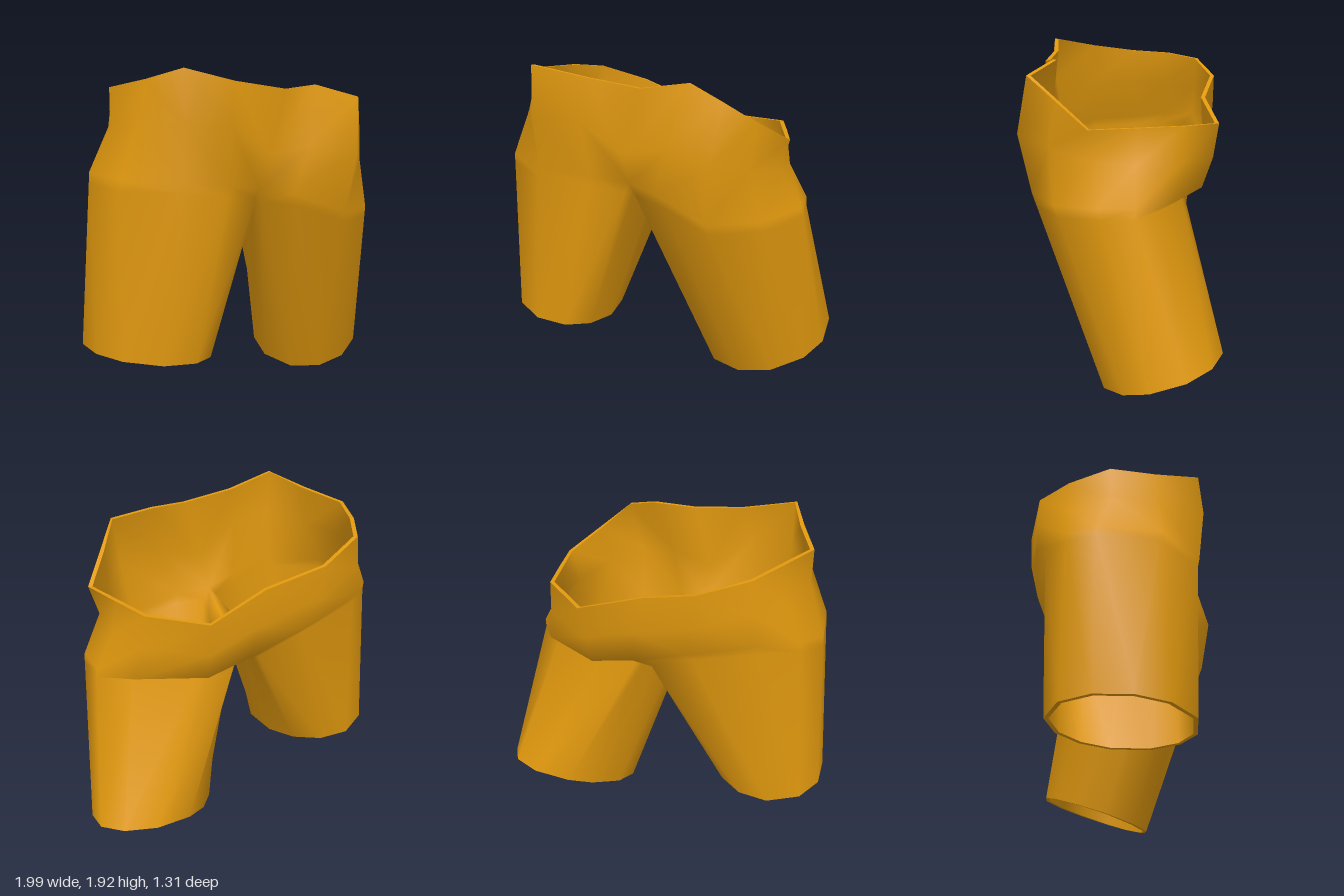
import * as THREE from 'three';
import { mergeVertices } from 'three/addons/utils/BufferGeometryUtils.js';

const THICKNESS = 0.025;

// Seam points shared by both halves
const FRONT = [[0.13, 1.82, 0.5], [0.02, 1.45, 0.53], [0, 1.25, 0.42]];
const BACK = [[-0.07, 1.6, -0.45], [-0.02, 1.38, -0.47], [0.01, 1.18, -0.44]];
const CROTCH = [[0.01, 1.16, -0.25], [0, 1.15, 0], [-0.01, 1.18, 0.25]];

// Each row runs from the front seam round the outer side to the back seam
const LEFT = {
  rows: [
    [[0.36, 1.85, 0.38], [0.6, 1.78, 0.46], [0.715, 1.655, 0.26], [0.83, 1.53, 0.06], [0.72, 1.53, -0.18], [0.61, 1.53, -0.41], [0.29, 1.5, -0.57]],
    [[0.28, 1.5, 0.5], [0.56, 1.45, 0.54], [0.7, 1.4, 0.31], [0.78, 1.35, 0.06], [0.75, 1.33, -0.18], [0.63, 1.33, -0.4], [0.28, 1.3, -0.54]],
    [[0.2, 1.22, 0.46], [0.52, 1.1, 0.48], [0.77, 1.1, 0.27], [0.9, 1.13, 0], [0.86, 1.13, -0.2], [0.67, 1.13, -0.38], [0.28, 1.12, -0.48]],
  ],
  hem: { x: 0.615, y: 0.133, z: -0.3, rx: 0.385, rz: 0.355, slopeX: 0.05, slopeZ: -0.36, shear: -0.16 },
  angles: [128, 97, 67, 36, 10, -23, -52, -83, -116, -138, -168, 162],
  side: 1, tuck: 0.13, spread: 0.02,
};
const RIGHT = {
  rows: [
    [[-0.19, 1.86, 0.54], [-0.5, 1.92, 0.63], [-0.65, 1.87, 0.39], [-0.81, 1.83, 0.15], [-0.75, 1.82, -0.12], [-0.67, 1.79, -0.33], [-0.41, 1.7, -0.47]],
    [[-0.22, 1.62, 0.58], [-0.5, 1.65, 0.65], [-0.71, 1.61, 0.42], [-0.81, 1.62, 0.15], [-0.78, 1.6, -0.11], [-0.69, 1.6, -0.33], [-0.38, 1.5, -0.47]],
    [[-0.2, 1.28, 0.52], [-0.5, 1.33, 0.61], [-0.82, 1.33, 0.45], [-0.93, 1.35, 0.1], [-0.87, 1.38, -0.1], [-0.7, 1.41, -0.32], [-0.32, 1.31, -0.44]],
  ],
  hem: { x: -0.63, y: 0.3, z: 0.18, rx: 0.37, rz: 0.39, slopeX: -0.08, slopeZ: 0.01, shear: 0.2 },
  angles: [125, 92, 58, 30, 0, -30, -65, -95, -122, -148, 180, 152],
  side: -1, tuck: 0.06, spread: 0.05,
};
const TUCK = [0, 0, 0, 0, 0, 0.2, 0.8, 1, 1, 0.4, 0, 0];

// One half of the garment: hip strips, then a closed tube down to the hem
function addHalf(out, { rows, hem, angles, side, tuck, spread }) {
  const rings = rows.map((row, i) => [FRONT[i], ...row, BACK[i]]);
  rings[2].push(...CROTCH);
  const hemRing = angles.map((deg) => {
    const a = THREE.MathUtils.degToRad(deg);
    const dx = side * Math.cos(a) * hem.rx, dz = Math.sin(a) * hem.rz + hem.shear * dx;
    return [hem.x + dx, hem.y + hem.slopeX * dx + hem.slopeZ * dz, hem.z + dz];
  });
  // Ring tucked in under the seat and opened out below the crotch
  rings.push(rings[2].map((p, k) => {
    const q = p.map((v, c) => v + (hemRing[k][c] - v) * 0.06);
    q[2] += TUCK[k] * tuck;
    if (k > 7) q[0] += side * spread;
    return q;
  }));
  rings.push(hemRing);

  for (let r = 0; r < rings.length - 1; r++) {
    const count = r < 2 ? 8 : 12;
    for (let k = 0; k < count; k++) {
      const n = r < 2 ? k + 1 : (k + 1) % 12;
      const a = rings[r][k], b = rings[r][n], c = rings[r + 1][k], d = rings[r + 1][n];
      const quad = side > 0 ? [a, c, b, b, c, d] : [a, b, c, b, d, c];
      quad.forEach((p) => out.push(...p));
    }
  }
}

// Inner lining: the outer surface pushed inwards and turned over
function makeLining(outer) {
  const lining = outer.clone();
  const pos = lining.attributes.position, nor = outer.attributes.normal;
  for (let i = 0; i < pos.count; i++) {
    pos.setXYZ(i,
      pos.getX(i) - nor.getX(i) * THICKNESS,
      pos.getY(i) - nor.getY(i) * THICKNESS * 0.2,
      pos.getZ(i) - nor.getZ(i) * THICKNESS);
  }
  lining.setIndex(Array.from(outer.index.array).reverse());
  lining.computeVertexNormals();
  return lining;
}

// Edge strips joining cloth and lining along every open border
function makeEdges(outer, lining) {
  const idx = outer.index.array, edges = new Map();
  for (let t = 0; t < idx.length; t += 3) {
    for (let e = 0; e < 3; e++) {
      const i = idx[t + e], j = idx[t + (e + 1) % 3];
      if (!edges.delete(`${j},${i}`)) edges.set(`${i},${j}`, [i, j]);
    }
  }
  const points = [];
  const at = (g, i) => new THREE.Vector3().fromBufferAttribute(g.attributes.position, i);
  for (const [i, j] of edges.values()) {
    const a = at(outer, i), b = at(outer, j), c = at(lining, i), d = at(lining, j);
    points.push(b, a, c, b, c, d);
  }
  const g = new THREE.BufferGeometry().setFromPoints(points);
  g.computeVertexNormals();
  return g;
}

export function createModel() {
  const group = new THREE.Group();
  group.name = 'shorts';
  const cloth = new THREE.MeshStandardMaterial({ color: 0xe0980e });
  cloth.name = 'orange cloth';

  const coords = [];
  addHalf(coords, LEFT);
  addHalf(coords, RIGHT);
  const raw = new THREE.BufferGeometry();
  raw.setAttribute('position', new THREE.Float32BufferAttribute(coords, 3));
  const outer = mergeVertices(raw, 1e-4);
  outer.computeVertexNormals();
  const lining = makeLining(outer);

  const parts = { outerCloth: outer, lining, waistAndHemEdges: makeEdges(outer, lining) };
  for (const [name, geometry] of Object.entries(parts)) {
    const mesh = new THREE.Mesh(geometry, cloth);
    mesh.name = name;
    group.add(mesh);
  }
  return group;
}
